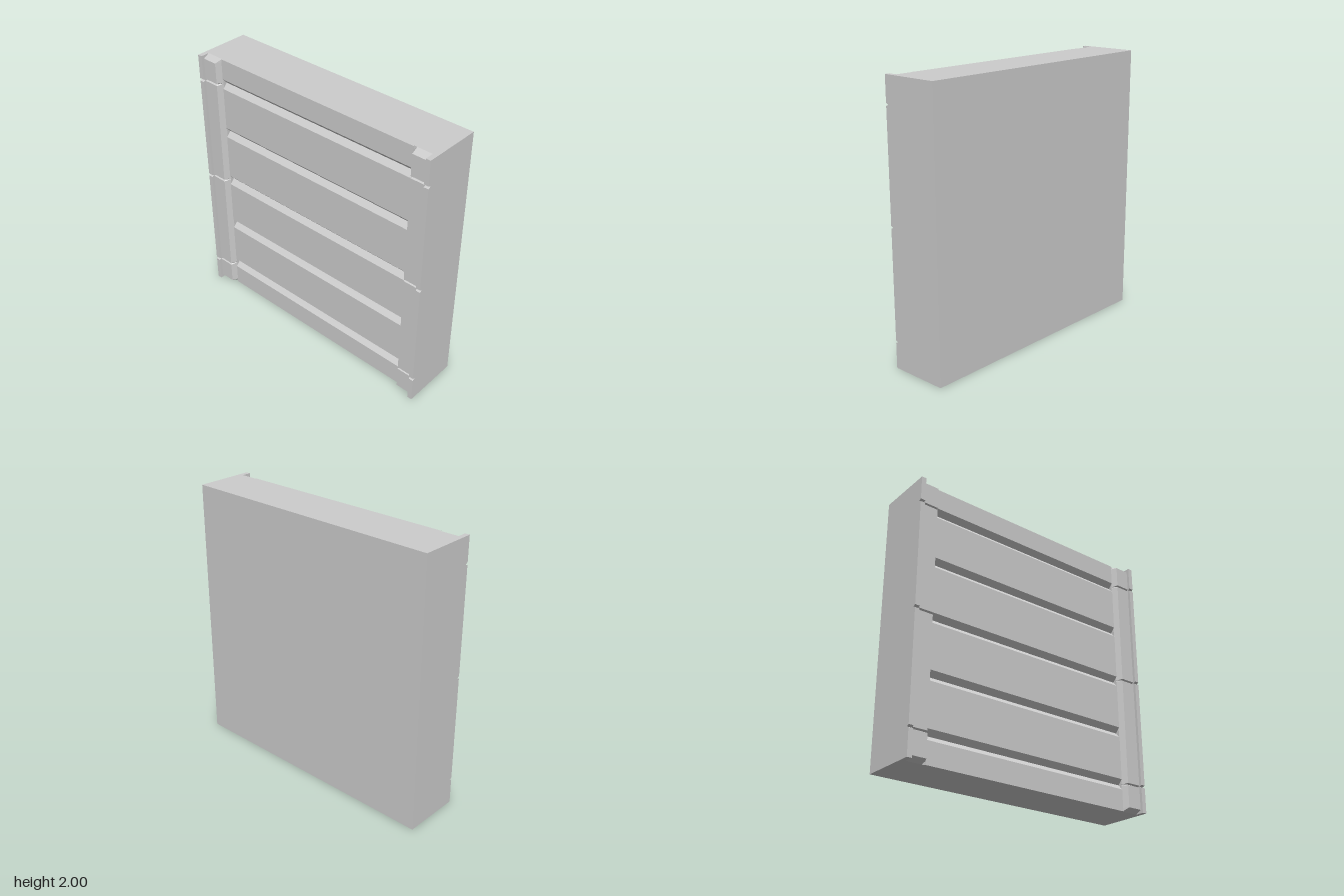
import * as THREE from 'three';

const material = new THREE.MeshStandardMaterial({ color: 0xcccccc });
const BACK = -0.215, BASE = 0.1, PLANK = 0.155, TRIM = 0.195, RIM = 0.215;

// Outline in (z, y), swept sideways through the given x positions.
function sweep(name, outline, xs, adjust) {
  const shape = new THREE.Shape(outline.map(([z, y]) => new THREE.Vector2(-z, y)));
  const steps = xs.length - 1;
  const geo = new THREE.ExtrudeGeometry(shape, { depth: steps, steps, bevelEnabled: false });
  geo.rotateY(Math.PI / 2);
  const p = geo.attributes.position;
  for (let i = 0; i < p.count; i++) {
    const x = xs[Math.round(p.getX(i))];
    p.setX(i, x);
    if (adjust) p.setZ(i, adjust(x, p.getZ(i)));
  }
  geo.computeVertexNormals();
  const mesh = new THREE.Mesh(geo, material);
  mesh.name = name;
  return mesh;
}

// Front edge running upward, with a V cut at each listed height.
function grooved(front, cuts, halfHeight, depth, chamfer = 0) {
  const pts = [[BASE, 0]];
  if (chamfer) pts.push([0.148, 0], [front, chamfer]);
  else pts.push([front, 0]);
  for (const y of cuts) pts.push([front, y - halfHeight], [front - depth, y], [front, y + halfHeight]);
  if (chamfer) pts.push([front, 2 - chamfer], [0.148, 2]);
  else pts.push([front, 2]);
  pts.push([BASE, 2]);
  return pts;
}

export function createModel() {
  const group = new THREE.Group();
  group.name = 'plankWall';

  // Solid backing slab
  const slab = new THREE.Mesh(new THREE.BoxGeometry(2, 2, BASE - BACK), material);
  slab.position.set(0, 1, (BASE + BACK) / 2);
  slab.name = 'backingSlab';
  group.add(slab);

  // Horizontal planks separated by V grooves
  const plankGrooves = [0.198, 0.593, 1.0, 1.415, 1.808];
  group.add(sweep('planks', grooved(PLANK, plankGrooves, 0.038, 0.035), [-0.83, 0.83]));

  // Side posts with a sloped inner edge, and the raised outer rims
  const seams = [0.195, 1.005, 1.81];
  const post = grooved(TRIM, seams, 0.008, 0.015, 0.025);
  const rim = grooved(RIM, seams, 0.01, 0.02);
  const slope = (x, z) => (Math.abs(x) < 0.84 ? Math.min(z, 0.15) : z);
  group.add(
    sweep('leftPost', post, [0.83, 0.852, 0.965], slope),
    sweep('rightPost', post, [-0.965, -0.852, -0.83], slope),
    sweep('leftRim', rim, [0.965, 1]),
    sweep('rightRim', rim, [-1, -0.965]),
  );
  return group;
}
